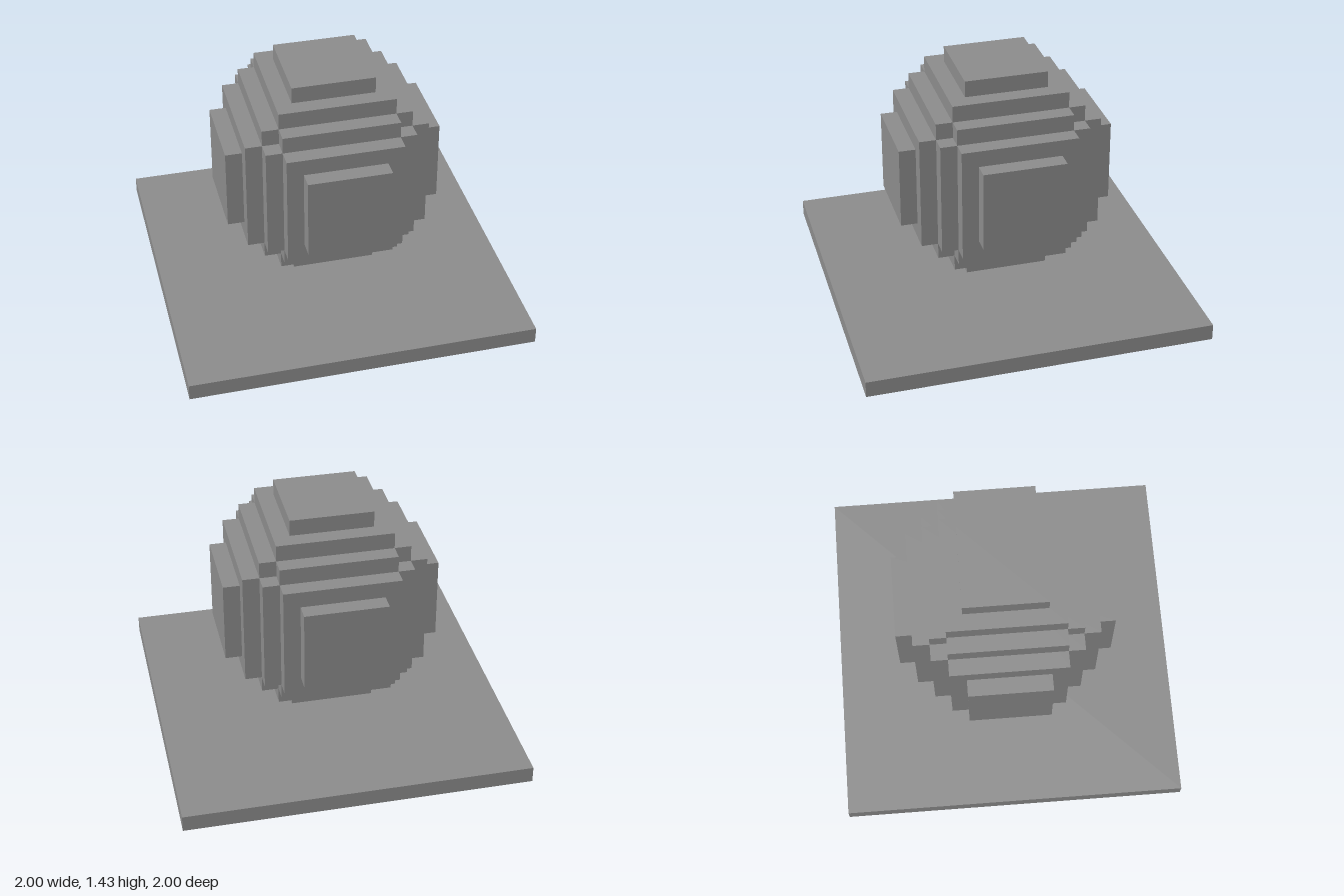
import * as THREE from 'three';

const U = 2 / 21; // one block

export function createModel() {
  const model = new THREE.Group();
  model.name = 'blockBallOnPlate';
  const grey = new THREE.MeshStandardMaterial({ color: 0x8c8c8c });
  grey.name = 'grey';

  // Box sized in blocks
  function addBox(name, parent, w, h, d) {
    const mesh = new THREE.Mesh(new THREE.BoxGeometry(w * U, h * U, d * U), grey);
    mesh.name = name;
    parent.add(mesh);
    return mesh;
  }

  // Ground plate, one block thick
  addBox('basePlate', model, 21, 1, 21).position.y = U / 2;

  // Stepped ball floating one block above the plate
  const ball = new THREE.Group();
  ball.name = 'ball';
  ball.position.y = 8.5 * U;
  model.add(ball);

  // Each layer is a square bar of given width and length, repeated on all three axes
  const layers = [
    ['coreSlab', 9, 7],
    ['middleStep', 7, 11],
    ['outerCap', 5, 13],
  ];
  for (const [name, width, length] of layers) {
    ['X', 'Y', 'Z'].forEach((axis, i) => {
      const size = [width, width, width];
      size[i] = length;
      addBox(name + axis, ball, ...size);
    });
  }
  return model;
}
